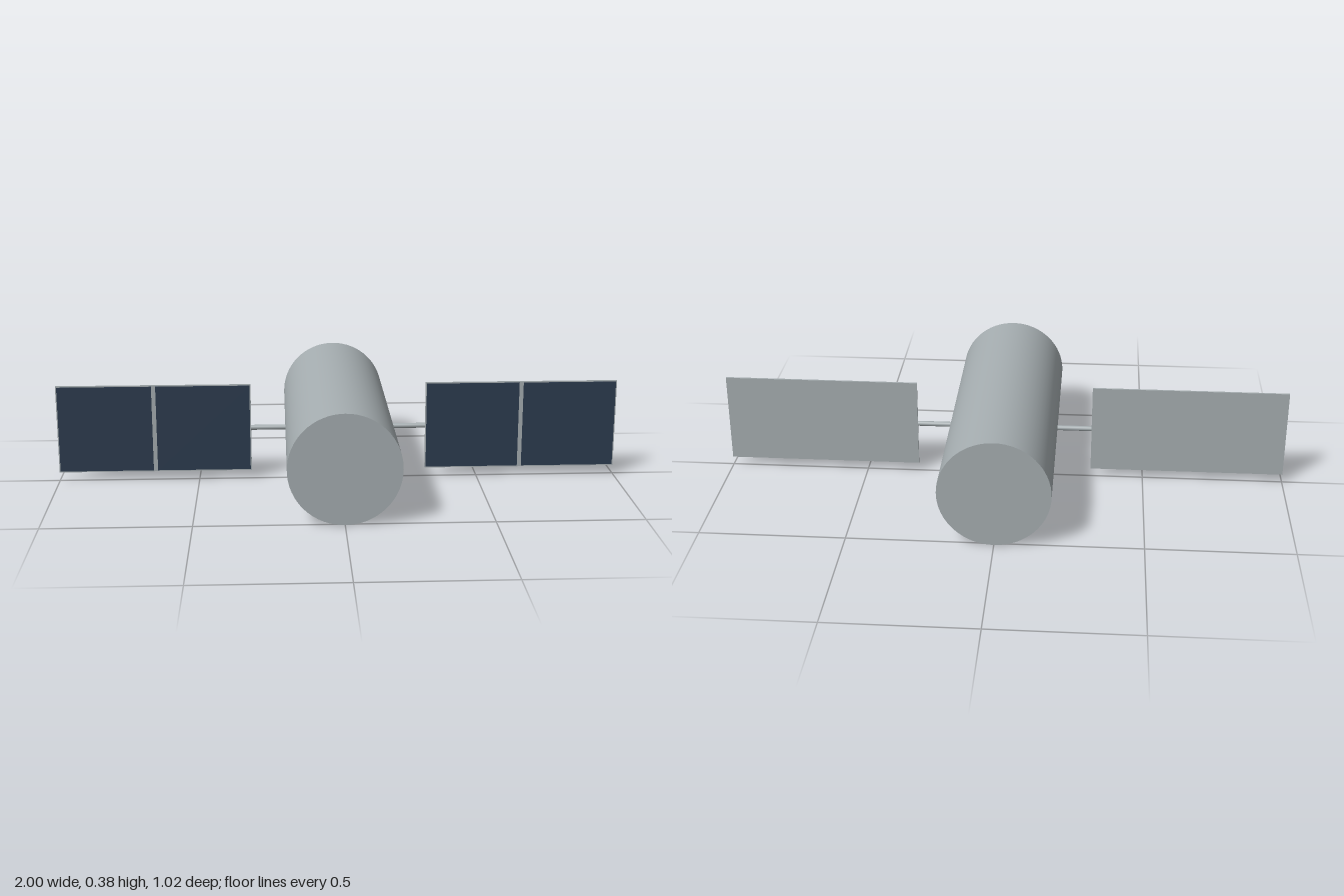
import * as THREE from 'three';

export function createModel() {
  const model = new THREE.Group();
  model.name = 'satellite';

  const grey = new THREE.MeshStandardMaterial({ color: 0xa5adb0 });
  grey.name = 'metal grey';
  const navy = new THREE.MeshStandardMaterial({ color: 0x2c3b4f });
  navy.name = 'solar navy';

  const R = 0.19; // body radius, also the height of its axis
  const add = (parent, name, geometry, material, x, y, z) => {
    const mesh = new THREE.Mesh(geometry, material);
    mesh.name = name;
    mesh.position.set(x, y, z);
    parent.add(mesh);
    return mesh;
  };

  // Cylindrical body lying along z
  const body = new THREE.CylinderGeometry(R, R, 1.02, 64).rotateX(Math.PI / 2);
  add(model, 'body', body, grey, 0, R, 0);

  // Strut and solar panel on each side
  const inner = 0.312, outer = 1, height = 0.318, depth = 0.007;
  const middle = (inner + outer) / 2;
  const rim = 0.004, gap = 0.015;
  const cellWidth = (outer - inner - gap) / 2 - rim;

  for (const side of [1, -1]) {
    const wing = new THREE.Group();
    wing.name = side > 0 ? 'leftWing' : 'rightWing';
    model.add(wing);

    const strut = new THREE.CylinderGeometry(0.009, 0.009, 0.15, 20).rotateZ(Math.PI / 2);
    add(wing, 'strut', strut, grey, side * (inner - 0.075), R, 0);

    const panel = new THREE.BoxGeometry(outer - inner, height, depth);
    add(wing, 'panel', panel, grey, side * middle, R, 0);

    // Dark cells on the front face, either side of the centre strip
    for (const half of [-1, 1]) {
      const cell = new THREE.BoxGeometry(cellWidth, height - 2 * rim, 0.002);
      const x = side * middle + half * (gap + cellWidth) / 2;
      add(wing, 'solarCell', cell, navy, x, R, depth / 2 + 0.0005);
    }
  }
  return model;
}
